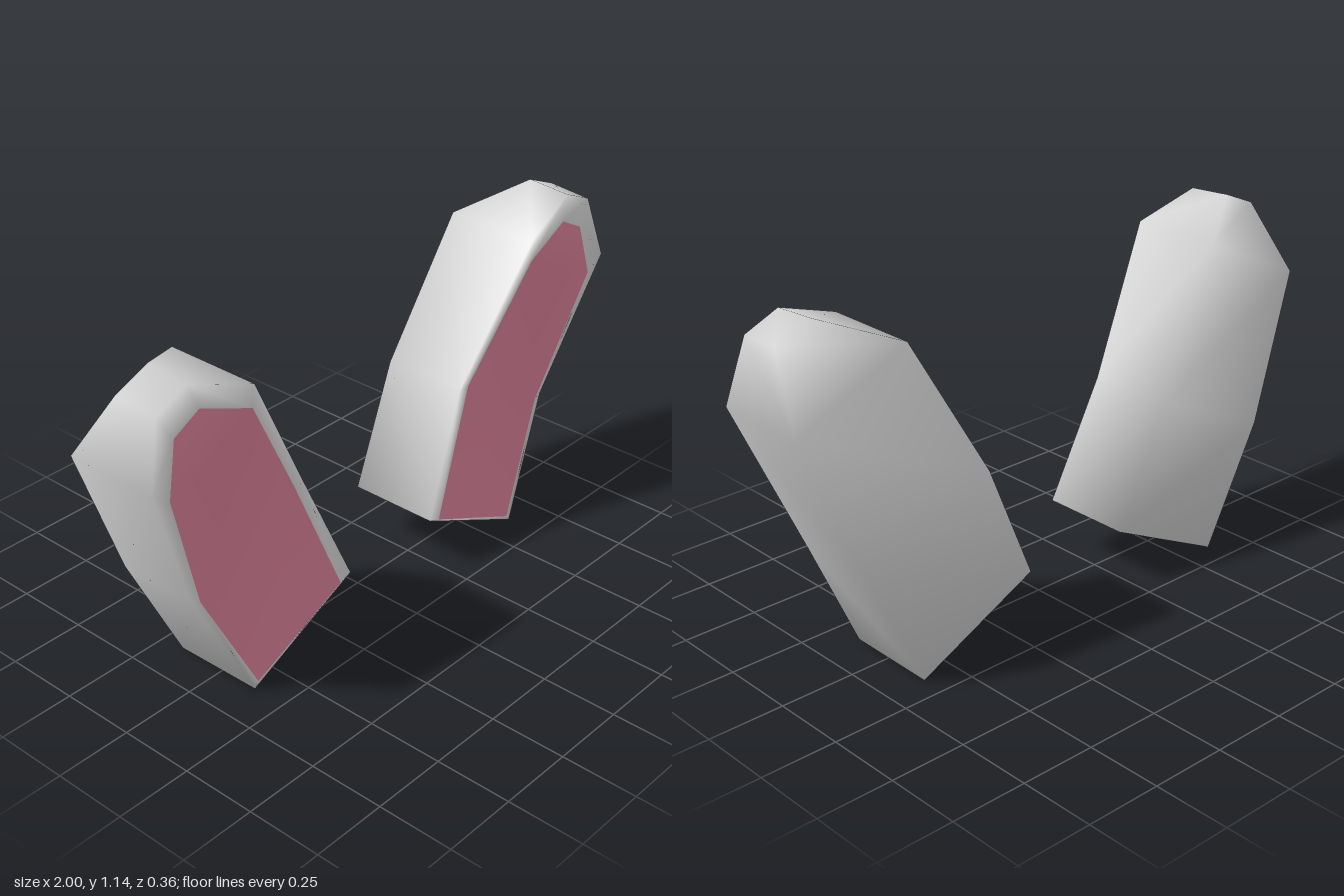
import * as THREE from 'three';

const fur = new THREE.MeshStandardMaterial({ color: 0xd4d4d4 });
fur.name = 'light grey fur';
const pink = new THREE.MeshStandardMaterial({ color: 0xd98098 });
pink.name = 'inner ear pink';

// Outlines run up the outer edge, over the tip and down the inner edge
const frontRim = [
  [0.615, 0.005, 0.14], [0.81, 0.4, 0.1], [1, 0.875, 0.18], [0.945, 1.08, 0.15],
  [0.83, 1.13, 0.15], [0.615, 1.055, 0.18], [0.36, 0.6, 0.11], [0.19, 0.205, 0.14],
];
const backRim = [
  [0.615, 0, -0.17], [0.81, 0.4, -0.18], [1, 0.875, -0.14], [0.95, 1.09, 0],
  [0.83, 1.14, 0], [0.615, 1.055, -0.14], [0.36, 0.6, -0.18], [0.19, 0.205, -0.17],
];
const lining = [
  [0.6, 0.025, 0.14], [0.78, 0.39, 0.102], [0.935, 0.83, 0.175], [0.895, 1, 0.16],
  [0.8, 1.05, 0.16], [0.62, 0.98, 0.175], [0.4, 0.6, 0.112], [0.235, 0.19, 0.14],
];

// Smooth mesh from points and quads, mirrored when side is -1
function quadMesh(name, points, quads, material, side) {
  const index = [];
  for (const [a, b, c, d] of quads) {
    if (side > 0) index.push(a, b, c, a, c, d);
    else index.push(a, c, b, a, d, c);
  }
  const geometry = new THREE.BufferGeometry();
  const flat = points.flatMap(([x, y, z]) => [x * side, y, z]);
  geometry.setAttribute('position', new THREE.Float32BufferAttribute(flat, 3));
  geometry.setIndex(index);
  geometry.computeVertexNormals();
  const mesh = new THREE.Mesh(geometry, material);
  mesh.name = name;
  return mesh;
}

function makeEar(name, side) {
  const n = frontRim.length;
  const shell = [];
  const panel = [];
  for (let i = 0; i < n; i++) {
    const j = (i + 1) % n;
    shell.push([n + i, n + j, j, i]); // side wall and base
    shell.push([i, j, 2 * n + j, 2 * n + i]); // rim around the lining
  }
  for (let r = 0; r < 3; r++) {
    const quad = [r, r + 1, 6 - r, 7 - r];
    panel.push(quad);
    shell.push(quad.map((k) => n + k).reverse()); // back of the ear
  }
  const ear = new THREE.Group();
  ear.name = name;
  ear.add(quadMesh('earShell', [...frontRim, ...backRim, ...lining], shell, fur, side));
  ear.add(quadMesh('earLining', lining, panel, pink, side));
  return ear;
}

export function createModel() {
  const group = new THREE.Group();
  group.name = 'ears';
  group.add(makeEar('leftEar', 1), makeEar('rightEar', -1));
  return group;
}
